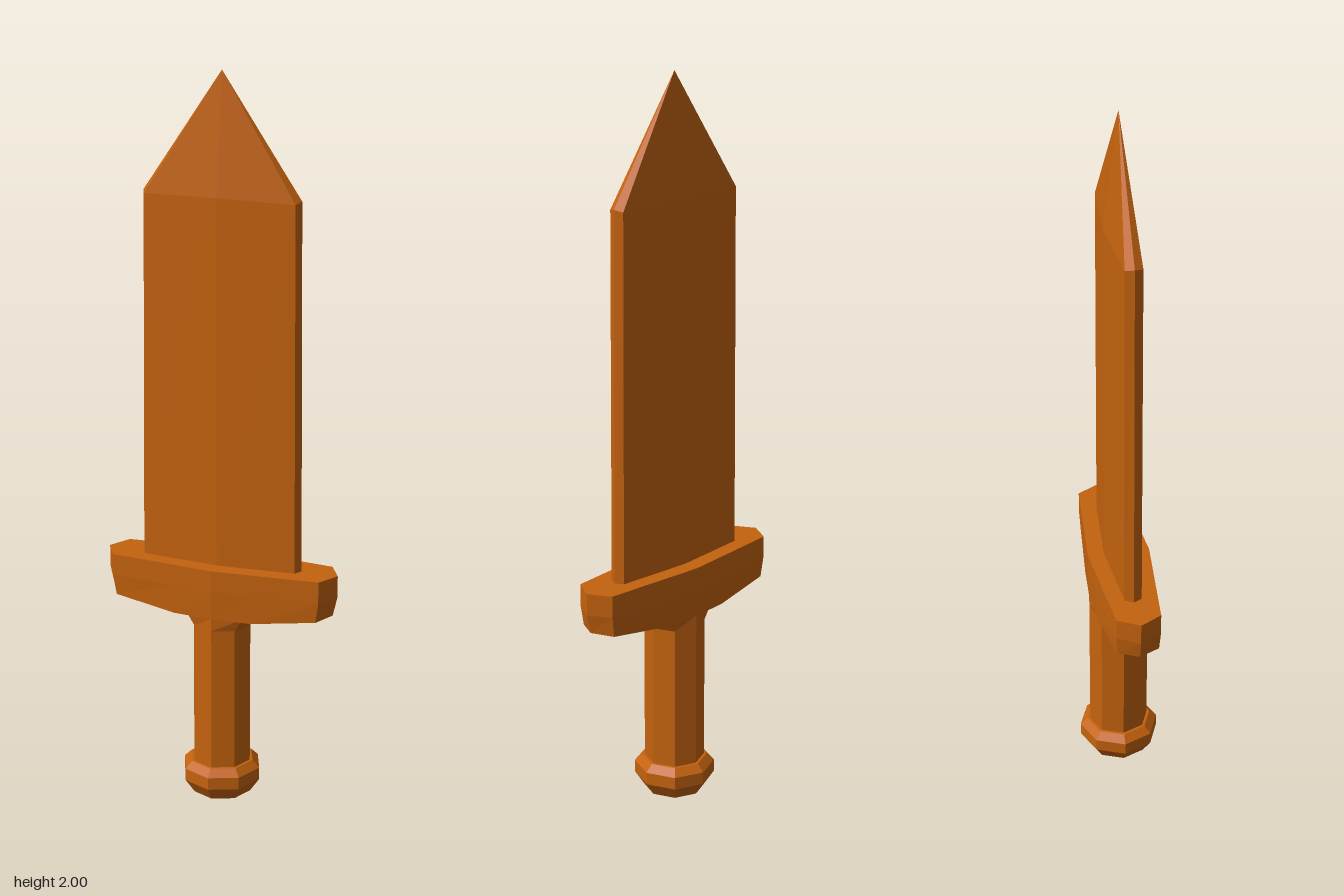
import * as THREE from 'three';

// Skins horizontal rings (bottom to top) and closes both ends with fans
function loft(rings, bottom, top) {
  const pos = [];
  const n = rings[0].length;
  const tri = (...pts) => pts.forEach((p) => pos.push(...p));
  for (let i = 0; i < n; i++) {
    const j = (i + 1) % n;
    for (let k = 0; k < rings.length - 1; k++) {
      const lo = rings[k], up = rings[k + 1];
      tri(lo[i], up[i], lo[j]);
      tri(lo[j], up[i], up[j]);
    }
    const last = rings[rings.length - 1];
    tri([0, bottom, 0], rings[0][i], rings[0][j]);
    tri([0, top, 0], last[j], last[i]);
  }
  const geo = new THREE.BufferGeometry();
  geo.setAttribute('position', new THREE.Float32BufferAttribute(pos, 3));
  geo.computeVertexNormals();
  return geo;
}

// Eight-sided ring with separate x and z radii
function octagon(y, rx, rz = rx) {
  return Array.from({ length: 8 }, (_, i) => {
    const a = (i * Math.PI) / 4;
    return [rx * Math.cos(a), y, rz * Math.sin(a)];
  });
}

// Mirrors a quarter outline, listed from the +x end to the +z middle, into a full ring
function mirrored(quarter) {
  const half = [...quarter, ...quarter.slice(0, -1).reverse().map(([x, y, z]) => [-x, y, z])];
  return [...half, ...half.slice(1, -1).reverse().map(([x, y, z]) => [x, y, -z])];
}

export function createModel() {
  const group = new THREE.Group();
  const wood = new THREE.MeshStandardMaterial({ color: 0xc4620e, flatShading: true });
  wood.name = 'orange wood';
  const add = (name, geo) => {
    const mesh = new THREE.Mesh(geo, wood);
    mesh.name = name;
    group.add(mesh);
  };

  // Knob at the end of the handle
  add('pommel', loft([
    octagon(0.005, 0.083), octagon(0.045, 0.11), octagon(0.08, 0.11), octagon(0.1, 0.09),
  ], 0.005, 0.1));

  // Handle, flaring sideways into the guard
  add('grip', loft([
    octagon(0.09, 0.082), octagon(0.505, 0.082), octagon(0.542, 0.115, 0.082), octagon(0.57, 0.115, 0.082),
  ], 0.09, 0.57));

  // Crossguard with pointed ends and a slightly bowed underside
  add('guard', loft([
    mirrored([[0.315, 0.566, 0], [0.285, 0.563, 0.057], [0.11, 0.54, 0.074], [0, 0.54, 0.082]]),
    mirrored([[0.327, 0.62, 0], [0.293, 0.62, 0.06], [0.11, 0.62, 0.0756], [0, 0.62, 0.085]]),
    mirrored([[0.327, 0.68, 0], [0.293, 0.68, 0.06], [0.11, 0.68, 0.0756], [0, 0.68, 0.085]]),
  ], 0.54, 0.68));

  // Ridged blade with bevelled edges, ending in a point
  add('blade', loft([
    mirrored([[0.226, 0.67, 0], [0.214, 0.67, 0.023], [0, 0.67, 0.04]]),
    mirrored([[0.216, 1.68, 0], [0.206, 1.675, 0.023], [0, 1.68, 0.039]]),
  ], 0.67, 2));

  return group;
}
